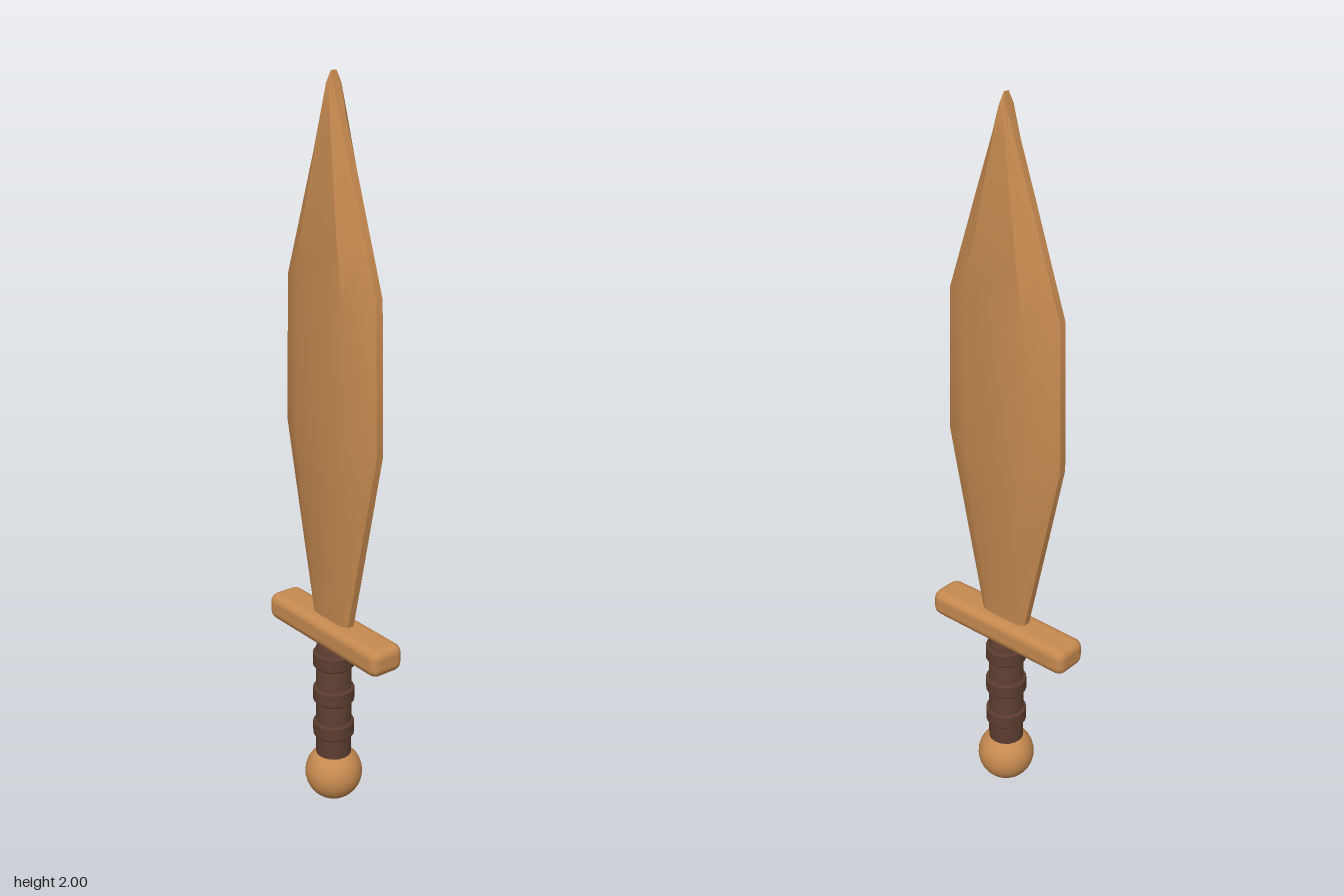
import * as THREE from 'three';
import { toCreasedNormals } from 'three/addons/utils/BufferGeometryUtils.js';
import { RoundedBoxGeometry } from 'three/addons/geometries/RoundedBoxGeometry.js';

// Blade rows: height, half width, half thickness at the middle
const BLADE_ROWS = [
  [0.53, 0.066, 0.018], [0.56, 0.073, 0.02], [0.7, 0.104, 0.034], [0.85, 0.137, 0.046],
  [1.08, 0.187, 0.05], [1.28, 0.183, 0.05], [1.48, 0.178, 0.05], [1.62, 0.13, 0.046],
  [1.75, 0.086, 0.037], [1.9, 0.034, 0.026], [1.97, 0.01, 0.019], [2.0, 0.001, 0.008],
];

// Flattened hexagonal section with a narrow blunt edge
function bladeSection(w, t) {
  const rim = Math.min(0.018, t), lip = Math.min(0.012, w * 0.3);
  const quarter = [[w, rim * 0.55], [w - lip, rim], [w * 0.53, t]];
  const half = [...quarter, ...quarter.map(([x, z]) => [-x, z]).reverse()];
  return [...half, ...half.map(([x, z]) => [-x, -z])];
}

function bladeGeometry() {
  const positions = [], index = [];
  const n = 12, rows = BLADE_ROWS.length;
  for (const [y, w, t] of BLADE_ROWS) {
    for (const [x, z] of bladeSection(w, t)) positions.push(x, y, z);
  }
  for (let r = 0; r < rows - 1; r++) {
    for (let i = 0; i < n; i++) {
      const a = r * n + i, b = r * n + (i + 1) % n;
      index.push(a, a + n, b, b, a + n, b + n);
    }
  }
  // End caps
  const top = (rows - 1) * n;
  for (let i = 1; i < n - 1; i++) {
    index.push(0, i, i + 1);
    index.push(top, top + i + 1, top + i);
  }
  const g = new THREE.BufferGeometry();
  g.setAttribute('position', new THREE.Float32BufferAttribute(positions, 3));
  g.setIndex(index);
  return toCreasedNormals(g, 0.5);
}

// Turned part with crisp rims
function turned(points) {
  const profile = points.map(([r, y]) => new THREE.Vector2(r, y));
  return toCreasedNormals(new THREE.LatheGeometry(profile, 20), 0.6);
}

export function createModel() {
  const model = new THREE.Group();
  model.name = 'woodenSword';
  const wood = new THREE.MeshStandardMaterial({ color: 0xc68a50 });
  wood.name = 'lightWood';
  const leather = new THREE.MeshStandardMaterial({ color: 0x5c3d30 });
  leather.name = 'darkGrip';

  const add = (name, geometry, material, y = 0) => {
    const mesh = new THREE.Mesh(geometry, material);
    mesh.name = name;
    mesh.position.y = y;
    model.add(mesh);
    return mesh;
  };

  add('blade', bladeGeometry(), wood);
  add('guard', new RoundedBoxGeometry(0.47, 0.078, 0.104, 2, 0.026), wood, 0.525);
  add('pommel', new THREE.SphereGeometry(0.08, 32, 20), wood, 0.084);

  // Grip with a narrowed collar under the guard
  add('grip', turned([[0, 0.13], [0.049, 0.13], [0.049, 0.475], [0.04, 0.495], [0, 0.495]]), leather);

  // Raised wrap bands
  for (const y of [0.442, 0.334, 0.228]) {
    add('gripBand', turned([
      [0.045, -0.022], [0.054, -0.022], [0.057, -0.018],
      [0.057, 0.018], [0.054, 0.022], [0.045, 0.022],
    ]), leather, y);
  }
  return model;
}
